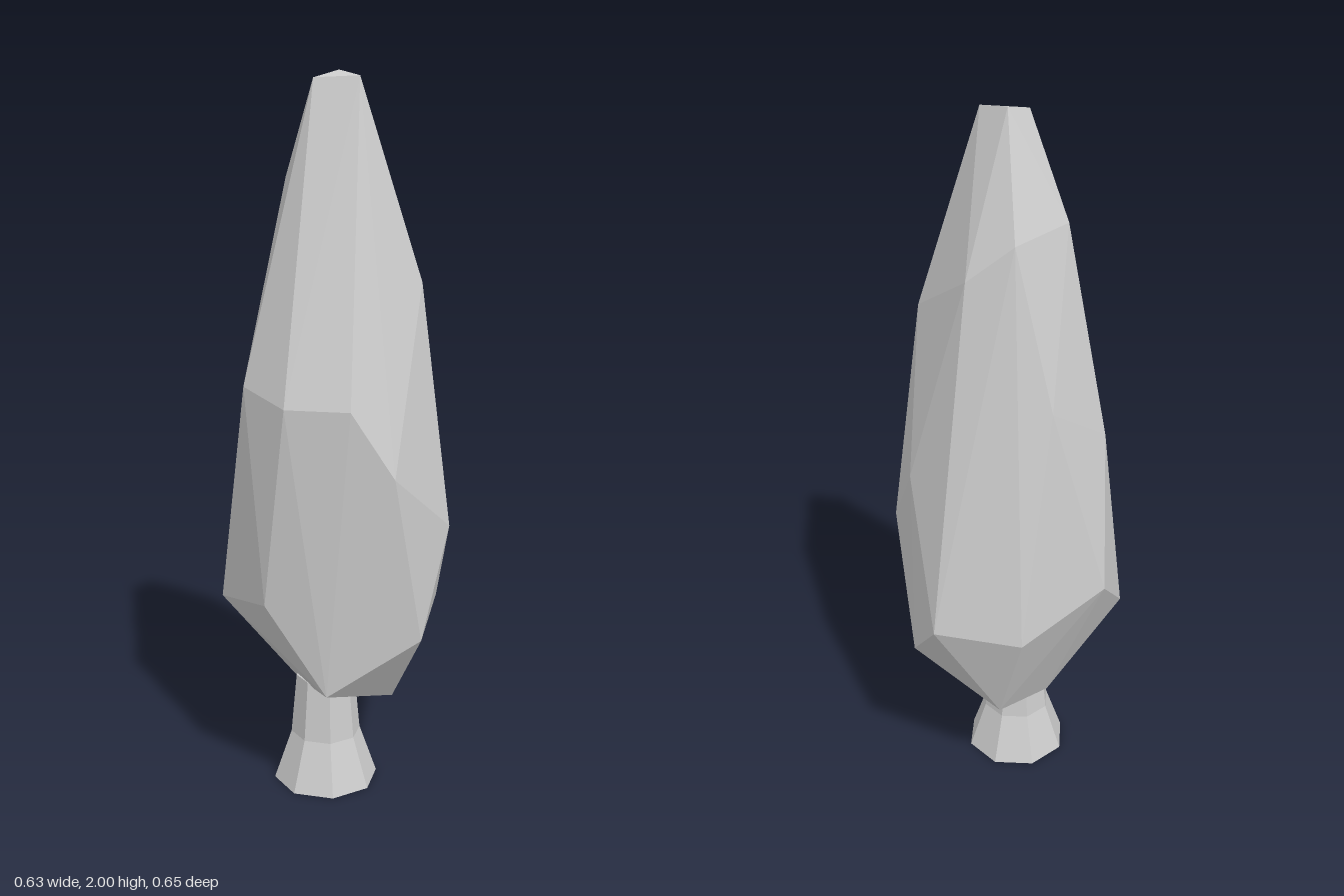
import * as THREE from 'three';
import { ConvexGeometry } from 'three/addons/geometries/ConvexGeometry.js';

const material = new THREE.MeshStandardMaterial({ color: 0xcccccc, flatShading: true });

// Corners of the faceted crown, in rings from the tip down
const crownRings = [
  // tip
  [[-0.06, 1.98, 0.022], [0.015, 2.0, -0.028], [0.055, 1.985, 0.07]],
  // shoulders
  [[-0.12, 1.72, -0.105], [0.048, 1.7, -0.178], [0.157, 1.6, -0.115], [0.215, 1.46, 0.122]],
  // upper waist
  [[-0.028, 1.27, -0.255], [-0.205, 1.15, -0.185], [-0.26, 1.19, 0.105], [-0.17, 1.16, 0.26],
    [-0.005, 1.16, 0.315], [0.11, 0.98, 0.325], [0.29, 1.02, -0.01]],
  // widest part
  [[0.29, 0.8, 0.175], [0.295, 0.64, -0.22], [0.08, 0.62, -0.33], [-0.18, 0.72, -0.277],
    [-0.317, 0.53, -0.085], [-0.22, 0.6, 0.19], [0.2, 0.5, 0.255], [0.315, 0.5, -0.08]],
  // underside
  [[-0.06, 0.35, 0.255], [0.155, 0.26, 0.08], [0.1, 0.31, -0.2], [-0.09, 0.25, -0.08], [0.06, 0.24, -0.06]],
];

export function createModel() {
  const tree = new THREE.Group();
  tree.name = 'cypressTree';

  // Crown: one irregular faceted hull
  const corners = crownRings.flat().map((p) => new THREE.Vector3(...p));
  const crown = new THREE.Mesh(new ConvexGeometry(corners), material);
  crown.name = 'crown';
  tree.add(crown);

  // Trunk: eight-sided, flared at the foot, running up into the crown
  const profile = [[0, 0], [0.15, 0], [0.1, 0.145], [0.084, 0.32], [0, 0.36]];
  const trunk = new THREE.Mesh(
    new THREE.LatheGeometry(profile.map(([r, y]) => new THREE.Vector2(r, y)), 8),
    material,
  );
  trunk.name = 'trunk';
  trunk.position.set(-0.032, 0, 0.033);
  tree.add(trunk);

  return tree;
}
